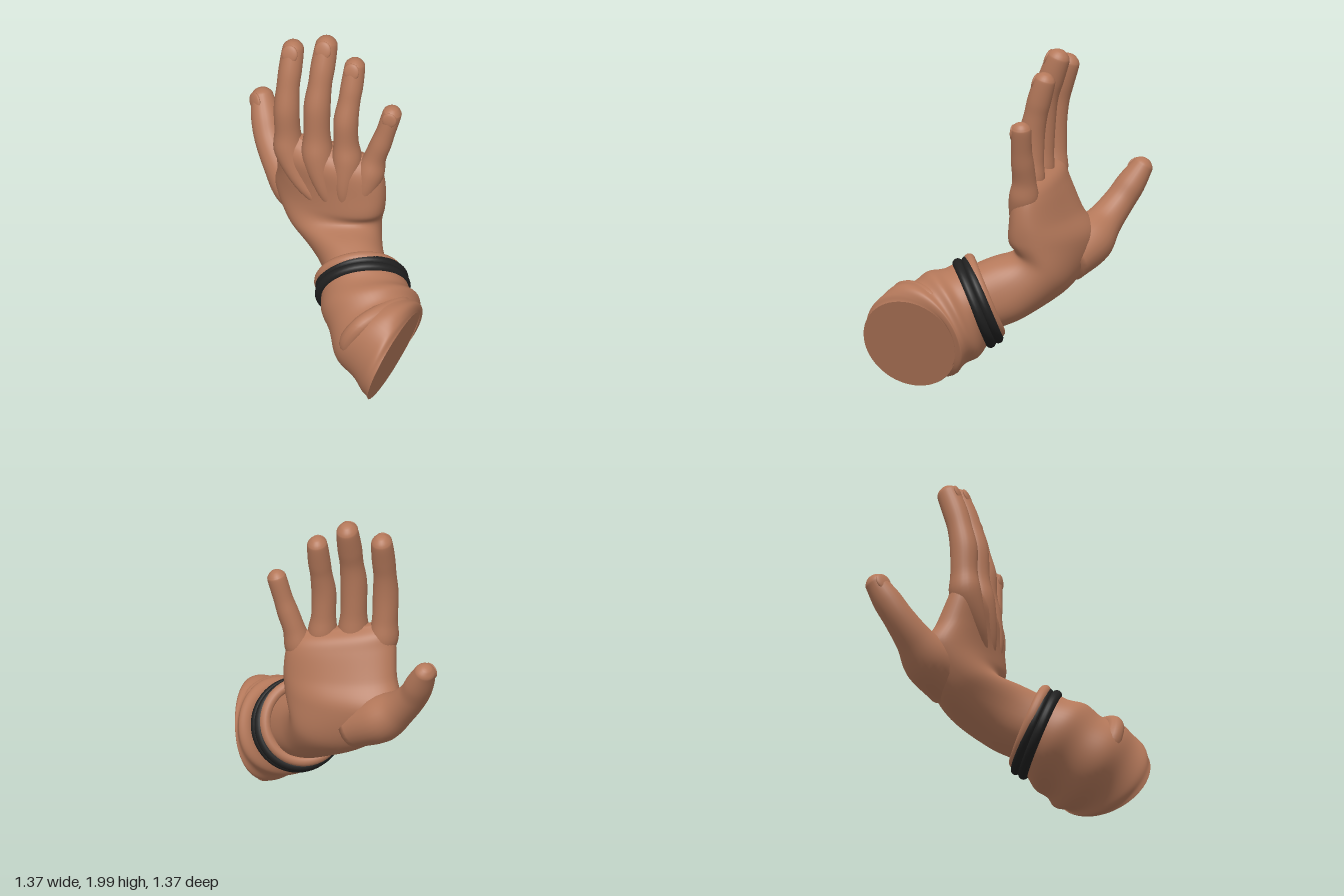
import * as THREE from 'three';

const V3 = (a) => new THREE.Vector3(...a);

// Smooth skin through cross-sections [centre, halfAxisU, halfAxisV]
function loft(sections, { rings = 40, sides = 32, power = 1, bump = () => 1, caps = true } = {}) {
  const curves = [0, 1, 2].map((k) => new THREE.CatmullRomCurve3(sections.map((s) => V3(s[k])), false, 'catmullrom', 0.5));
  const pos = [], idx = [];
  const shape = (v) => Math.sign(v) * Math.pow(Math.abs(v), power);
  for (let j = 0; j <= rings; j++) {
    const t = j / rings;
    const [c, u, v] = curves.map((k) => k.getPoint(t));
    for (let i = 0; i < sides; i++) {
      const th = (i / sides) * Math.PI * 2, b = bump(t, th);
      const p = c.clone().addScaledVector(u, shape(Math.cos(th)) * b).addScaledVector(v, shape(Math.sin(th)) * b);
      pos.push(p.x, p.y, p.z);
    }
  }
  for (let j = 0; j < rings; j++) {
    for (let i = 0; i < sides; i++) {
      const a = j * sides + i, b = j * sides + (i + 1) % sides, d = a + sides, e = b + sides;
      idx.push(a, d, b, b, d, e);
    }
  }
  if (caps) {
    const n = pos.length / 3, last = rings * sides;
    pos.push(...sections[0][0], ...sections[sections.length - 1][0]);
    for (let i = 0; i < sides; i++) {
      const k = (i + 1) % sides;
      idx.push(n, i, k, n + 1, last + k, last + i);
    }
  }
  const g = new THREE.BufferGeometry();
  g.setAttribute('position', new THREE.Float32BufferAttribute(pos, 3));
  g.setIndex(idx);
  g.computeVertexNormals();
  return g;
}

export function createModel() {
  const root = new THREE.Group();
  root.name = 'hand';
  const skin = new THREE.MeshStandardMaterial({ color: 0xb4785a });
  skin.name = 'warm brown';
  const black = new THREE.MeshStandardMaterial({ color: 0x202020 });
  black.name = 'black';
  const add = (name, geo, mat = skin) => {
    const m = new THREE.Mesh(geo, mat);
    m.name = name;
    root.add(m);
    return m;
  };

  // Wrist, heel and palm in one bending body
  add('palm', loft([
    [[0.27, 0.5, 0.08], [0.17, 0, -0.1], [0.04, 0.18, 0.07]],
    [[0.14, 0.575, -0.09], [0.175, 0.01, -0.08], [0.03, 0.175, 0.1]],
    [[-0.02, 0.68, -0.25], [0.27, 0.04, -0.03], [0.01, 0.1, 0.165]],
    [[-0.07, 0.85, -0.285], [0.355, 0.01, 0.05], [0, 0.015, 0.185]],
    [[-0.05, 1.0, -0.25], [0.345, -0.01, 0.02], [0, 0.005, 0.155]],
    [[-0.05, 1.15, -0.22], [0.33, -0.03, -0.01], [0, 0, 0.13]],
    [[-0.06, 1.23, -0.215], [0.3, -0.04, -0.015], [0, 0, 0.095]],
    [[-0.06, 1.275, -0.21], [0.24, -0.04, -0.015], [0, 0, 0.03]],
  ], { rings: 56, sides: 48, power: 0.86 }));

  // Fingers: points are [x, y, z, radius]; the last one is the centre of the round tip
  function finger(name, pts, dorsal) {
    const path = new THREE.CatmullRomCurve3(pts.map(V3), false, 'catmullrom', 0.5);
    const frame = (t) => {
      const axis = path.getTangent(t);
      const v = V3(dorsal).addScaledVector(axis, -V3(dorsal).dot(axis)).normalize();
      return { axis, v, u: axis.clone().cross(v) };
    };
    const section = (p, f, r) => [p.toArray(), f.u.clone().multiplyScalar(r).toArray(), f.v.clone().multiplyScalar(r * 1.08).toArray()];
    const sections = pts.map((p, i) => section(V3(p), frame(i / (pts.length - 1)), p[3]));
    const tip = V3(pts[pts.length - 1]), r = pts[pts.length - 1][3], f = frame(1);
    for (const [h, s] of [[0.5, 0.87], [0.85, 0.53], [0.97, 0.25], [1, 0.04]]) {
      sections.push(section(tip.clone().addScaledVector(f.axis, r * h), f, r * s));
    }
    add(name, loft(sections, { rings: 60, sides: 24 }));
    // Thin curved nail lying on the tip
    const nail = add(name + 'Nail', new THREE.SphereGeometry(1, 20, 12));
    nail.scale.set(r * 0.78, r * 0.85, r * 0.24);
    nail.quaternion.setFromRotationMatrix(new THREE.Matrix4().makeBasis(f.u, f.axis, f.v));
    nail.position.copy(tip).addScaledVector(f.v, r * 0.89).addScaledVector(f.axis, -r * 0.2);
  }
  // Each finger begins as a tendon on the back of the hand
  finger('indexFinger', [[0, 0.8, -0.18, 0.035], [-0.19, 1.0, -0.145, 0.05], [-0.295, 1.2, -0.185, 0.09], [-0.31, 1.34, -0.19, 0.077],
    [-0.315, 1.5, -0.19, 0.077], [-0.315, 1.64, -0.215, 0.069], [-0.312, 1.75, -0.245, 0.07], [-0.31, 1.862, -0.285, 0.065]], [0, 0, 1]);
  finger('middleFinger', [[0.03, 0.8, -0.18, 0.035], [-0.05, 1.0, -0.135, 0.05], [-0.11, 1.21, -0.17, 0.093], [-0.12, 1.37, -0.185, 0.079],
    [-0.122, 1.56, -0.195, 0.08], [-0.115, 1.7, -0.225, 0.071], [-0.11, 1.81, -0.26, 0.073], [-0.105, 1.928, -0.305, 0.067]], [0, 0, 1]);
  finger('ringFinger', [[0.07, 0.8, -0.18, 0.035], [0.07, 1.0, -0.14, 0.05], [0.07, 1.2, -0.19, 0.088], [0.06, 1.34, -0.2, 0.074],
    [0.058, 1.49, -0.205, 0.074], [0.068, 1.62, -0.235, 0.066], [0.075, 1.71, -0.26, 0.067], [0.08, 1.825, -0.295, 0.062]], [0, 0, 1]);
  finger('littleFinger', [[0.11, 0.8, -0.2, 0.035], [0.175, 0.98, -0.175, 0.05], [0.208, 1.13, -0.215, 0.083], [0.235, 1.25, -0.23, 0.067],
    [0.272, 1.36, -0.235, 0.064], [0.3, 1.45, -0.24, 0.058], [0.333, 1.572, -0.25, 0.058]], [0.1, 0, 1]);
  finger('thumb', [[-0.14, 0.69, -0.34, 0.13], [-0.33, 0.79, -0.41, 0.147], [-0.455, 0.89, -0.46, 0.108],
    [-0.545, 1.0, -0.52, 0.09], [-0.593, 1.1, -0.575, 0.084], [-0.632, 1.192, -0.625, 0.066]], [-0.45, 0, 0.85]);

  // Creased sleeve with a flat cut end
  const cut = [[0.575, 0.275, 0.37], [0.025, 0, -0.305], [0.088, 0.272, 0]];
  add('sleeve', loft([
    cut,
    [[0.55, 0.318, 0.35], [0.07, 0, -0.29], [0.09, 0.295, 0.03]],
    [[0.455, 0.365, 0.27], [0.17, 0, -0.25], [0.07, 0.285, 0.06]],
    [[0.35, 0.435, 0.17], [0.22, 0, -0.17], [0.06, 0.265, 0.09]],
    [[0.26, 0.495, 0.07], [0.222, 0, -0.118], [0.048, 0.232, 0.085]],
    [[0.225, 0.52, 0.005], [0.2, 0, -0.1], [0.045, 0.21, 0.075]],
  ], {
    rings: 72, sides: 56, caps: false,
    bump: (t, th) => 1 + Math.sin(Math.PI * t) * (0.035 * Math.sin(t * 24 + 2.2 * Math.sin(th + 0.8)) + 0.02 * Math.sin(3 * th + t * 9)),
  }));
  add('sleeveEnd', loft([[cut[0], [0, 0, 0], [0, 0, 0]], cut], { rings: 1, sides: 56, caps: false }));

  // Thick cloth fold rolling over the front and top of the sleeve
  const fold = new THREE.CatmullRomCurve3([[0.4, 0.25, 0.42], [0.34, 0.4, 0.51], [0.41, 0.54, 0.5], [0.51, 0.59, 0.38], [0.58, 0.56, 0.23], [0.55, 0.42, 0.15]].map(V3));
  add('sleeveFold', new THREE.TubeGeometry(fold, 40, 0.055, 14));

  // Two black wrist bands, with a cloth cuff rolled over the upper one on the back of the wrist
  const axis = V3([-0.42, 0.38, -0.83]).normalize();
  const across = V3([0.83, 0, -0.42]).normalize();
  const up = across.clone().cross(axis);
  const turn = new THREE.Matrix4().makeBasis(across, up, axis.clone().negate());
  const ring = (name, along, rise, R, tube, mat) => {
    const m = add(name, new THREE.TorusGeometry(R, tube, 14, 56), mat);
    m.quaternion.setFromRotationMatrix(turn);
    m.position.set(0.262, 0.495, 0.06).addScaledVector(axis, along).addScaledVector(up, rise).addScaledVector(across, -rise);
  };
  ring('cuffEdge', 0.052, 0.016, 0.235, 0.034, skin);
  ring('lowerBand', -0.022, 0, 0.257, 0.031, black);
  ring('upperBand', 0.03, 0, 0.25, 0.03, black);

  return root;
}
